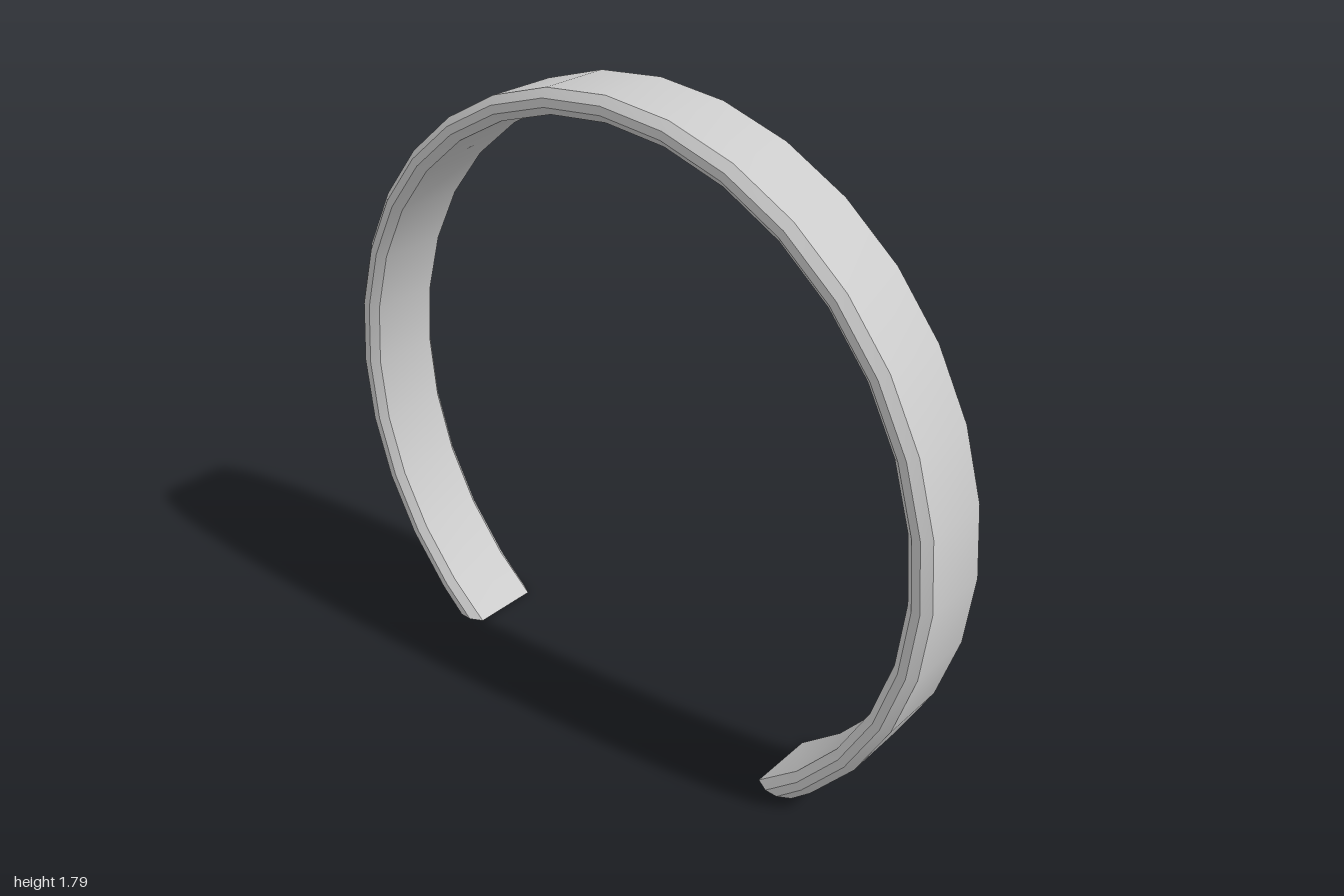
import * as THREE from 'three';

const CENTER_Y = 0.773;
const STEP = Math.PI / 16;

// Chamfered band section: [x, depth below the outer surface]
const SECTION = [
  [-0.1, 0], [0.1, 0], [0.12, 0.022], [0.12, 0.045],
  [0.1, 0.067], [-0.1, 0.067], [-0.12, 0.045], [-0.12, 0.022],
];

// Points of one section corner swept round the arc, cut off at y = 0
function sweep([x, depth]) {
  const rz = 1 - depth, ry = 1.015 - depth;
  const end = Math.PI / 2 + Math.asin(CENTER_Y / ry);
  const angles = [-end];
  for (let i = -12; i <= 12; i++) angles.push(i * STEP);
  angles.push(end);
  return angles.map((a) => [x, CENTER_Y + ry * Math.cos(a), rz * Math.sin(a)]);
}

function buildMesh(name, points, index, material) {
  const geometry = new THREE.BufferGeometry();
  geometry.setAttribute('position', new THREE.Float32BufferAttribute(points.flat(), 3));
  geometry.setIndex(index);
  geometry.computeVertexNormals();
  const mesh = new THREE.Mesh(geometry, material);
  mesh.name = name;
  return mesh;
}

export function createModel() {
  const group = new THREE.Group();
  group.name = 'openBand';
  const material = new THREE.MeshStandardMaterial({ color: 0xcccccc });
  const rails = SECTION.map(sweep);
  const count = rails[0].length;

  // Strips are smooth along the arc and creased between neighbours
  const names = ['outerFace', 'leftOuterBevel', 'leftSide', 'leftInnerBevel',
    'innerFace', 'rightInnerBevel', 'rightSide', 'rightOuterBevel'];
  names.forEach((name, k) => {
    const points = [...rails[k], ...rails[(k + 1) % rails.length]];
    const index = [];
    for (let i = 0; i < count - 1; i++) {
      const a = i, b = i + 1, c = count + i, d = count + i + 1;
      index.push(a, b, c, b, d, c);
    }
    group.add(buildMesh(name, points, index, material));
  });

  // Flat cut ends on the ground
  for (const [name, at, flip] of [['backEnd', 0, false], ['frontEnd', count - 1, true]]) {
    const index = [];
    for (let k = 1; k < rails.length - 1; k++) {
      index.push(0, ...(flip ? [k + 1, k] : [k, k + 1]));
    }
    group.add(buildMesh(name, rails.map((r) => r[at]), index, material));
  }
  return group;
}
